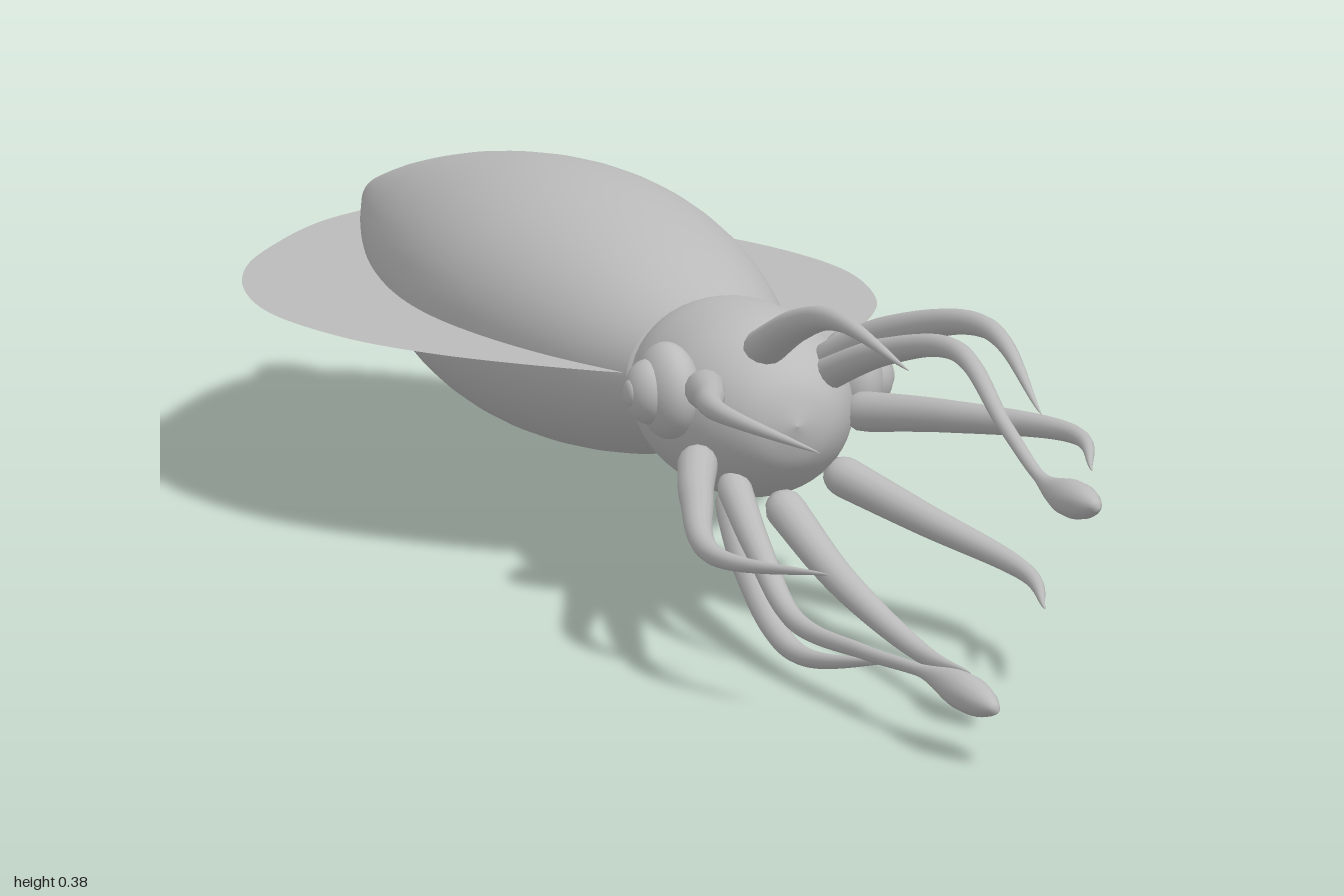
import * as THREE from 'three';
import { mergeVertices } from 'three/addons/utils/BufferGeometryUtils.js';

const V = (p) => new THREE.Vector3(...p);
const AXIS_Y = 0.21;

// Smooth body of revolution along z; profile is [radius, z] from back to front
function spindle(profile, smooth = true) {
  let pts = profile.map(([r, z]) => new THREE.Vector2(r, z));
  if (smooth) pts = new THREE.SplineCurve(pts).getPoints(48);
  pts.forEach((p) => { p.x = Math.max(p.x, 0); });
  return new THREE.LatheGeometry(pts, 48).rotateX(Math.PI / 2);
}

// Tube through points whose radius follows radiusAt(t)
function taperedTube(points, radiusAt, segments = 56, sides = 14) {
  const curve = new THREE.CatmullRomCurve3(points.map(V));
  const geo = new THREE.TubeGeometry(curve, segments, 1, sides);
  const pos = geo.attributes.position;
  const v = new THREE.Vector3();
  for (let i = 0; i <= segments; i++) {
    const t = i / segments;
    const c = curve.getPointAt(t);
    for (let j = 0; j <= sides; j++) {
      const k = i * (sides + 1) + j;
      v.fromBufferAttribute(pos, k).sub(c).multiplyScalar(radiusAt(t)).add(c);
      pos.setXYZ(k, v.x, v.y, v.z);
    }
  }
  geo.deleteAttribute('uv');
  geo.deleteAttribute('normal');
  const merged = mergeVertices(geo, 1e-5);
  merged.computeVertexNormals();
  return merged;
}

const roundStart = (t, len) => Math.sqrt(1 - Math.pow(1 - Math.min(t / len, 1), 2));
const armRadius = (t) => 0.022 * roundStart(t, 0.05) * Math.pow(1 - t, 0.75);

// Thin stalk that swells into a club at the end
function tentacleRadius(t) {
  const stalk = 0.006 + 0.013 * Math.pow(1 - t, 2);
  const u = Math.min(Math.max((t - 0.78) / 0.22, 0), 1);
  const club = 0.014 * Math.pow(Math.sin(Math.PI * Math.pow(u, 1.4)), 1.2);
  const end = Math.sqrt(Math.max(0, 1 - Math.pow(Math.max(0, (t - 0.96) / 0.04), 2)));
  return roundStart(t, 0.04) * (stalk + club) * end;
}

export function createModel() {
  const group = new THREE.Group();
  group.name = 'squid';
  const skin = new THREE.MeshStandardMaterial({ color: 0xbbbbbb, side: THREE.DoubleSide });
  skin.name = 'grey skin';
  const add = (name, geo, parent = group) => {
    const mesh = new THREE.Mesh(geo, skin);
    mesh.name = name;
    parent.add(mesh);
    return mesh;
  };

  // Mantle: pointed at the back, slightly flattened
  const mantle = add('mantle', spindle([
    [0, -1], [0.022, -0.985], [0.042, -0.94], [0.083, -0.83], [0.128, -0.68], [0.158, -0.53],
    [0.167, -0.4], [0.157, -0.27], [0.131, -0.14], [0.092, -0.02],
  ]));
  mantle.scale.y = 0.82;
  mantle.position.y = AXIS_Y;
  const collar = add('mantleRim', spindle([[0.092, -0.02], [0.086, -0.013], [0.07, -0.02]], false));
  collar.scale.y = 0.82;
  collar.position.y = AXIS_Y;

  // Head
  const head = add('head', spindle([
    [0.07, -0.05], [0.088, -0.02], [0.102, 0.03], [0.105, 0.09], [0.098, 0.14],
    [0.077, 0.19], [0.045, 0.225], [0, 0.24],
  ]));
  head.scale.y = 0.95;
  head.position.y = 0.205;

  for (const s of [1, -1]) {
    const side = s > 0 ? 'left' : 'right';

    // Fin: flat sheet, tilted slightly so the front edge is higher
    const shape = new THREE.Shape();
    shape.moveTo(s * 0.07, -0.02);
    shape.splineThru([
      [0.1, -0.03], [0.175, -0.11], [0.24, -0.2], [0.29, -0.31], [0.315, -0.46],
      [0.296, -0.6], [0.245, -0.73], [0.17, -0.84], [0.09, -0.93], [0.01, -0.985],
    ].map(([x, z]) => new THREE.Vector2(s * x, z)));
    shape.lineTo(s * 0.06, -0.8);
    shape.lineTo(s * 0.1, -0.45);
    const fin = add(side + 'Fin', new THREE.ShapeGeometry(shape, 8)
      .translate(0, 0.47, 0).rotateX(Math.PI / 2 - 0.02));
    fin.position.set(0, AXIS_Y - 0.002, -0.47);

    // Eye: rounded lid with a smaller bulb and a pupil
    const eye = new THREE.Group();
    eye.name = side + 'Eye';
    eye.position.set(s * 0.1, 0.228, 0.125);
    eye.rotation.y = s * Math.PI / 2;
    group.add(eye);
    add('eyelid', new THREE.SphereGeometry(0.053, 32, 20).scale(1, 0.95, 0.58), eye);
    const bulb = add('eyeball', new THREE.SphereGeometry(0.034, 28, 18).scale(1, 1, 0.7), eye);
    bulb.position.z = 0.021;
    const pupil = add('pupil', new THREE.SphereGeometry(0.014, 20, 12).scale(1, 1, 0.4), eye);
    pupil.position.z = 0.0415;
  }

  // Eight arms: base, mid, widest bend and tip
  const arms = [
    [[-0.015, 0.268, 0.16], [-0.022, 0.325, 0.3], [-0.047, 0.368, 0.5], [-0.04, 0.352, 0.68]],
    [[0.055, 0.25, 0.16], [0.08, 0.31, 0.3], [0.104, 0.356, 0.52], [0.072, 0.315, 0.77]],
    [[0.085, 0.2, 0.16], [0.14, 0.218, 0.3], [0.2, 0.237, 0.52], [0.153, 0.237, 0.7]],
    [[0.065, 0.14, 0.16], [0.115, 0.112, 0.3], [0.16, 0.088, 0.48], [0.12, 0.084, 0.65]],
    [[0.006, 0.115, 0.16], [0.024, 0.055, 0.3], [0.05, 0.009, 0.47], [0.035, 0.025, 0.66]],
    [[-0.042, 0.125, 0.16], [-0.075, 0.075, 0.3], [-0.1, 0.027, 0.5], [-0.075, 0.06, 0.74]],
    [[-0.08, 0.163, 0.16], [-0.133, 0.15, 0.3], [-0.193, 0.137, 0.52], [-0.145, 0.155, 0.73]],
    [[-0.073, 0.235, 0.16], [-0.12, 0.258, 0.3], [-0.172, 0.278, 0.48], [-0.13, 0.268, 0.66]],
  ];
  arms.forEach((pts, i) => add('arm' + (i + 1), taperedTube(pts, armRadius)));

  // Two long hunting tentacles with clubs
  add('leftTentacle', taperedTube([
    [0.045, 0.235, 0.16], [0.068, 0.295, 0.32], [0.086, 0.325, 0.48],
    [0.066, 0.285, 0.68], [0.05, 0.258, 0.85], [0.05, 0.264, 1],
  ], tentacleRadius, 80));
  add('rightTentacle', taperedTube([
    [-0.045, 0.14, 0.16], [-0.072, 0.095, 0.32], [-0.092, 0.055, 0.48],
    [-0.089, 0.06, 0.68], [-0.077, 0.068, 0.85], [-0.06, 0.058, 1],
  ], tentacleRadius, 80));

  return group;
}
